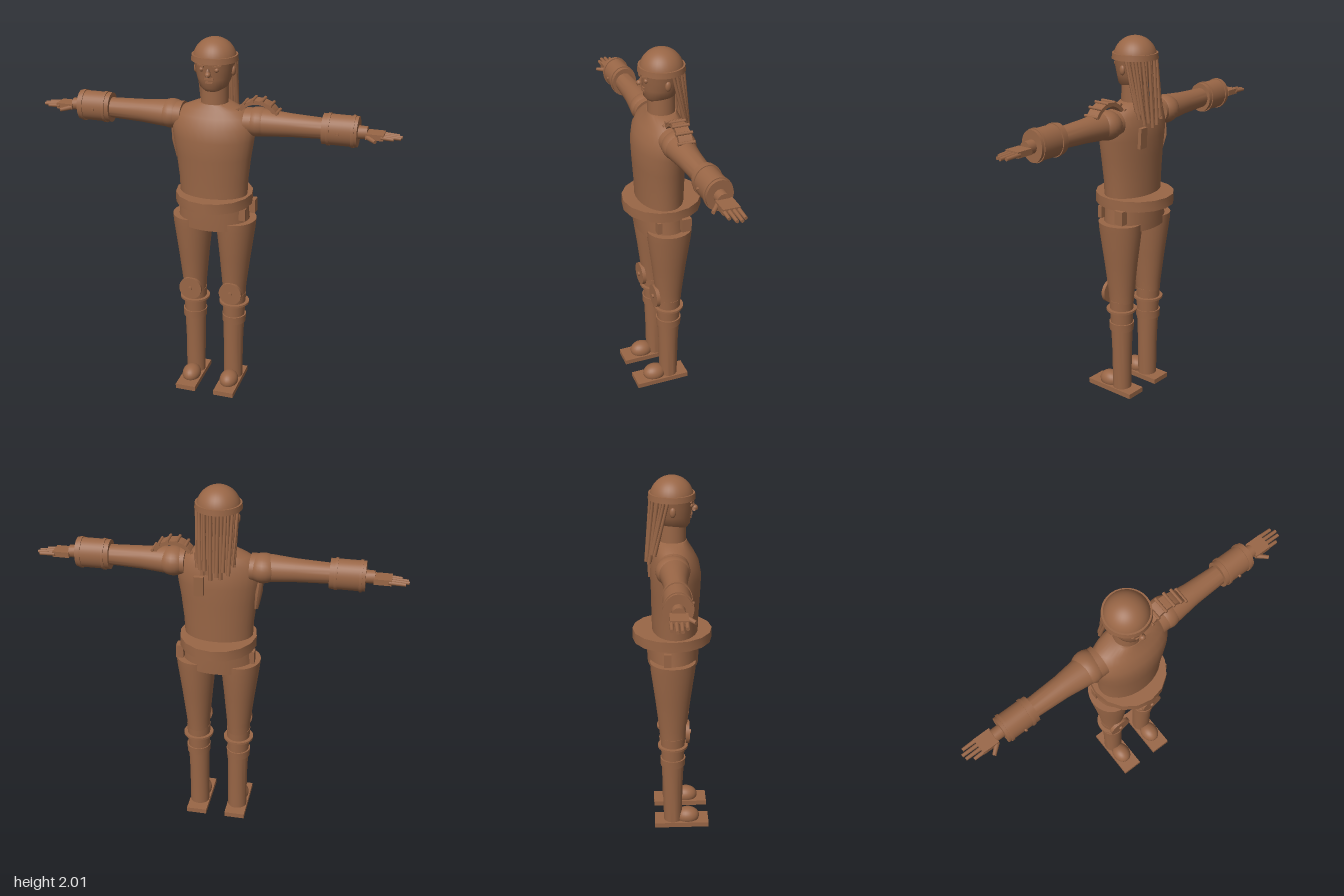
import * as THREE from 'three';
import { toCreasedNormals } from 'three/addons/utils/BufferGeometryUtils.js';

const brown = new THREE.MeshStandardMaterial({ color: 0x996646 });
brown.name = 'brown clay';

function add(parent, name, geometry, x = 0, y = 0, z = 0) {
  const mesh = new THREE.Mesh(geometry, brown);
  mesh.name = name;
  mesh.position.set(x, y, z);
  parent.add(mesh);
  return mesh;
}

// Closed skin over oval rings given as [y, radiusX, radiusZ, centreX, centreZ]
function loft(rings, sides = 32) {
  const ends = [[...rings[0]], ...rings, [...rings[rings.length - 1]]];
  ends[0][1] = ends[0][2] = ends[ends.length - 1][1] = ends[ends.length - 1][2] = 0;
  const g = new THREE.LatheGeometry(ends.map(r => new THREE.Vector2(1, r[0])), sides);
  const p = g.attributes.position;
  for (let i = 0; i < p.count; i++) {
    const [y, rx, rz, cx = 0, cz = 0] = ends[i % ends.length];
    p.setXYZ(i, p.getX(i) * rx + cx, y, p.getZ(i) * rz + cz);
  }
  return toCreasedNormals(g, 0.7);
}

// Rod between two points
function rod(parent, name, a, b, r0, r1, sides = 8) {
  const d = new THREE.Vector3().subVectors(b, a);
  const mesh = add(parent, name, new THREE.CylinderGeometry(r1, r0, d.length(), sides));
  mesh.position.copy(a).addScaledVector(d, 0.5);
  mesh.quaternion.setFromUnitVectors(new THREE.Vector3(0, 1, 0), d.normalize());
  return mesh;
}

const v = (x, y, z) => new THREE.Vector3(x, y, z);
const box = (x, y, z) => new THREE.BoxGeometry(x, y, z);
const ball = (r) => new THREE.SphereGeometry(r, 24, 16);

function buildArm(s) {
  const arm = new THREE.Group();
  arm.name = s > 0 ? 'leftArm' : 'rightArm';
  const y = 1.575;
  const along = (name, rings, sides) => {
    const m = add(arm, name, loft(rings, sides), 0, y, 0);
    m.rotation.z = -s * Math.PI / 2;
    return m;
  };
  add(arm, 'shoulder', ball(0.08), s * 0.235, y, -0.005).scale.set(1.05, 0.96, 1.1);
  along('sleeve', [[0.17, 0.07, 0.08], [0.28, 0.071, 0.075], [0.4, 0.061, 0.06], [0.6, 0.053, 0.05]]);
  along('cuff', [[0.575, 0.08, 0.068], [0.755, 0.08, 0.068]]);
  for (const x of [0.6, 0.725]) along('cuffBand', [[x, 0.085, 0.073], [x + 0.014, 0.085, 0.073]]);
  along('wrist', [[0.74, 0.035, 0.033], [0.8, 0.033, 0.033]], 16);
  const stud = add(arm, 'cuffStud', new THREE.CylinderGeometry(0.007, 0.007, 0.02, 10), s * 0.66, y, 0.068);
  stud.rotation.x = Math.PI / 2;
  // Hand with four fingers and a thumb
  add(arm, 'palm', box(0.09, 0.03, 0.085), s * 0.84, 1.567, 0);
  [0.935, 0.967, 0.972, 0.955].forEach((end, i) => {
    const z = 0.034 - i * 0.0235;
    rod(arm, 'finger', v(s * 0.87, 1.567, z), v(s * end, 1.563, z), 0.011, 0.009);
  });
  rod(arm, 'thumb', v(s * 0.805, 1.562, 0.035), v(s * 0.85, 1.556, 0.075), 0.013, 0.01);
  return arm;
}

function buildLeg(s) {
  const leg = new THREE.Group();
  leg.name = s > 0 ? 'leftLeg' : 'rightLeg';
  const x = s * 0.115;
  const part = (name, rings) => add(leg, name, loft(rings));
  part('thigh', [[0.56, 0.063, 0.07, x], [0.62, 0.066, 0.075, x], [0.8, 0.085, 0.096, s * 0.118],
    [0.98, 0.106, 0.12, s * 0.121], [1.025, 0.109, 0.122, s * 0.122]]);
  part('calf', [[0.03, 0.054, 0.051, s * 0.112], [0.25, 0.055, 0.055, s * 0.112],
    [0.42, 0.06, 0.062, s * 0.113], [0.57, 0.066, 0.068, x]]);
  part('shinBand', [[0.39, 0.065, 0.068, x], [0.435, 0.067, 0.07, x]]);
  part('kneeRing', [[0.505, 0.083, 0.083, x], [0.517, 0.083, 0.083, x]]);
  // Round knee guard
  const disc = (name, r, d, z) => {
    const m = add(leg, name, new THREE.CylinderGeometry(r, r, d, 28), x, 0.595, z);
    m.rotation.x = Math.PI / 2;
  };
  disc('kneeGuard', 0.064, 0.02, 0.08);
  disc('kneeStud', 0.012, 0.02, 0.09);
  // Shoe
  add(leg, 'sole', box(0.115, 0.028, 0.305), s * 0.112, 0.014, 0.05);
  add(leg, 'shoeToe', ball(1), s * 0.112, 0.045, 0.085).scale.set(0.052, 0.05, 0.066);
  return leg;
}

function buildHead() {
  const head = new THREE.Group();
  head.name = 'head';
  add(head, 'neck', new THREE.CylinderGeometry(0.07, 0.073, 0.14, 28), 0, 1.69, 0);
  add(head, 'face', loft([[1.735, 0.05, 0.06, 0, 0.015], [1.755, 0.072, 0.082, 0, 0.01],
    [1.8, 0.09, 0.097], [1.85, 0.1, 0.106], [1.9, 0.108, 0.112]]));
  add(head, 'capDome', new THREE.SphereGeometry(0.113, 32, 16, 0, Math.PI * 2, 0, Math.PI / 2), 0, 1.888, -0.002);
  add(head, 'capBand', new THREE.CylinderGeometry(0.119, 0.122, 0.03, 32), 0, 1.9, -0.002);
  // Facial features
  const nose = add(head, 'nose', new THREE.ConeGeometry(0.02, 0.06, 4), 0, 1.85, 0.107);
  nose.rotation.x = -0.25;
  add(head, 'noseTip', ball(0.015), 0, 1.833, 0.117);
  add(head, 'upperLip', box(0.05, 0.01, 0.016), 0, 1.807, 0.095);
  add(head, 'lowerLip', box(0.038, 0.01, 0.016), 0, 1.788, 0.091);
  for (const s of [1, -1]) {
    add(head, 'eye', ball(0.012), s * 0.04, 1.855, 0.094);
    const brow = add(head, 'brow', box(0.042, 0.008, 0.012), s * 0.042, 1.876, 0.099);
    brow.rotation.set(0, s * 0.4, s * 0.15);
    add(head, 'ear', ball(1), s * 0.1, 1.835, 0).scale.set(0.012, 0.026, 0.016);
  }
  // Two layers of hanging locks around the back
  const count = 17;
  for (let i = 0; i < count; i++) {
    const a = (i / (count - 1) - 0.5) * 2.7;
    const layer = i % 2;
    const r = 0.105 + layer * 0.008;
    const end = 1.645 - 0.085 * Math.cos(a) + 0.02 * ((i * 7) % 3 - 1);
    rod(head, 'lock', v(Math.sin(a) * r, 1.895, -Math.cos(a) * r),
      v(Math.sin(a) * 0.097, end, -0.085 - Math.cos(a) * (0.038 + layer * 0.012)), 0.008, 0.011, 7);
  }
  return head;
}

// Curved guard over the left shoulder with cross bars
function buildShoulderGuard() {
  const guard = new THREE.Group();
  guard.name = 'shoulderGuard';
  guard.position.set(0.235, 1.575, -0.003);
  const shape = new THREE.Shape();
  shape.absarc(0, 0, 0.12, 0.45, Math.PI - 0.45, false);
  shape.absarc(0, 0, 0.1, Math.PI - 0.45, 0.45, true);
  const plate = new THREE.ExtrudeGeometry(shape, { depth: 0.07, bevelEnabled: false, curveSegments: 16 });
  add(guard, 'guardPlate', toCreasedNormals(plate, 0.6), 0, 0, -0.035);
  for (let i = 0; i < 6; i++) {
    const a = 0.55 + i * 0.408;
    const x = Math.cos(a) * 0.122, y = Math.sin(a) * 0.122;
    rod(guard, 'guardBar', v(x, y, -0.045), v(x, y, 0.045), 0.0085, 0.0085, 8);
  }
  return guard;
}

export function createModel() {
  const model = new THREE.Group();
  model.name = 'figure';

  add(model, 'torso', loft([
    [1.14, 0.183, 0.122, 0, 0.015], [1.25, 0.188, 0.125, 0, 0.015], [1.38, 0.203, 0.13, 0, 0.018],
    [1.48, 0.219, 0.134, 0, 0.018], [1.55, 0.226, 0.125, 0, 0.014], [1.6, 0.21, 0.105, 0, 0.007],
    [1.635, 0.165, 0.09, 0, 0], [1.665, 0.09, 0.075, 0, 0]]));
  add(model, 'hips', loft([[0.985, 0.2, 0.137, 0, 0.004], [1.05, 0.192, 0.14, 0, 0.004],
    [1.14, 0.185, 0.14, 0, 0.004]]));
  add(model, 'belt', loft([[1.113, 0.207, 0.213], [1.17, 0.207, 0.213]], 16));

  // Pouches hanging from the belt
  add(model, 'hipPouch', box(0.04, 0.075, 0.052), 0.195, 1.08, -0.065);
  add(model, 'smallPouch', box(0.035, 0.065, 0.025), 0.18, 1.08, 0.08);
  add(model, 'rightPouch', box(0.03, 0.075, 0.04), -0.188, 1.06, -0.03);

  // Plates on the back and right side
  const backPlate = add(model, 'backPlate', box(0.05, 0.11, 0.02), 0.08, 1.495, -0.118);
  backPlate.rotation.x = -0.05;
  const sidePlate = add(model, 'sidePlate', loft([[-0.1, 0.012, 0.02], [0, 0.02, 0.045], [0.1, 0.014, 0.03]], 12),
    -0.213, 1.44, 0);
  sidePlate.rotation.z = 0.12;

  model.add(buildHead(), buildShoulderGuard());
  for (const s of [1, -1]) model.add(buildArm(s), buildLeg(s));
  return model;
}
